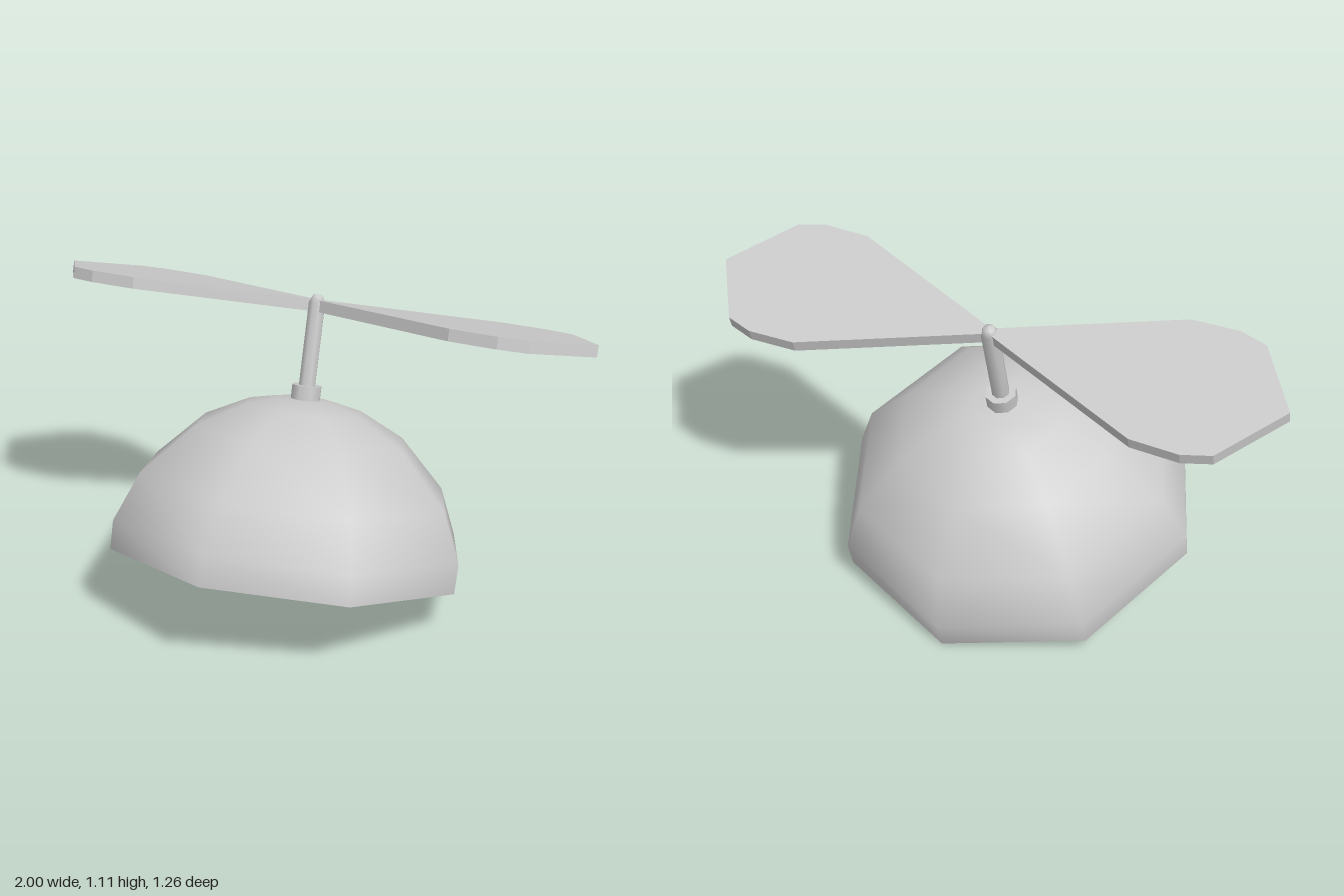
import * as THREE from 'three';

const SIDES = 8;

export function createModel() {
  const model = new THREE.Group();
  model.name = 'propellerCap';
  const grey = new THREE.MeshStandardMaterial({ color: 0xcccccc });
  const greyThin = new THREE.MeshStandardMaterial({ color: 0xcccccc, side: THREE.DoubleSide });

  // Everything leans back together around the centre of the brim
  const cap = new THREE.Group();
  cap.name = 'cap';
  cap.position.set(0, 0.165, 0.013);
  cap.rotation.x = -THREE.MathUtils.degToRad(15);
  model.add(cap);

  const add = (name, geometry, material = grey) => {
    const mesh = new THREE.Mesh(geometry, material);
    mesh.name = name;
    cap.add(mesh);
    return mesh;
  };
  const lathe = (points) =>
    new THREE.LatheGeometry(points.map(([r, y]) => new THREE.Vector2(r, y)), SIDES);

  // Open eight-sided dome
  add('dome', lathe([
    [0.637, 0], [0.638, 0.1], [0.563, 0.269], [0.383, 0.445],
    [0.213, 0.531], [0.108, 0.557], [0, 0.565],
  ]), greyThin);

  // Collar at the crown
  add('collar', new THREE.CylinderGeometry(0.054, 0.054, 0.07, SIDES)).position.y = 0.575;

  // Shaft with its domed tip poking through the propeller
  add('shaft', lathe([[0.03, 0.55], [0.03, 0.9], [0.018, 0.923], [0, 0.927]]));

  // Flat two-bladed propeller: one quarter outline mirrored four ways
  const quarter = [[0, 0.012], [0.585, 0.256], [0.75, 0.26], [0.845, 0.23]];
  const half = [...quarter, [1, 0], ...quarter.map(([x, y]) => [x, -y]).reverse()];
  const outline = [...half, ...half.slice(1, -1).map(([x, y]) => [-x, -y])];
  const shape = new THREE.Shape(outline.map(([x, y]) => new THREE.Vector2(x, y)));
  const thickness = 0.04;
  const blades = new THREE.ExtrudeGeometry(shape, { depth: thickness, bevelEnabled: false });
  blades.translate(0, 0, -thickness / 2).rotateX(-Math.PI / 2);
  add('propeller', blades).position.y = 0.888;

  return model;
}
